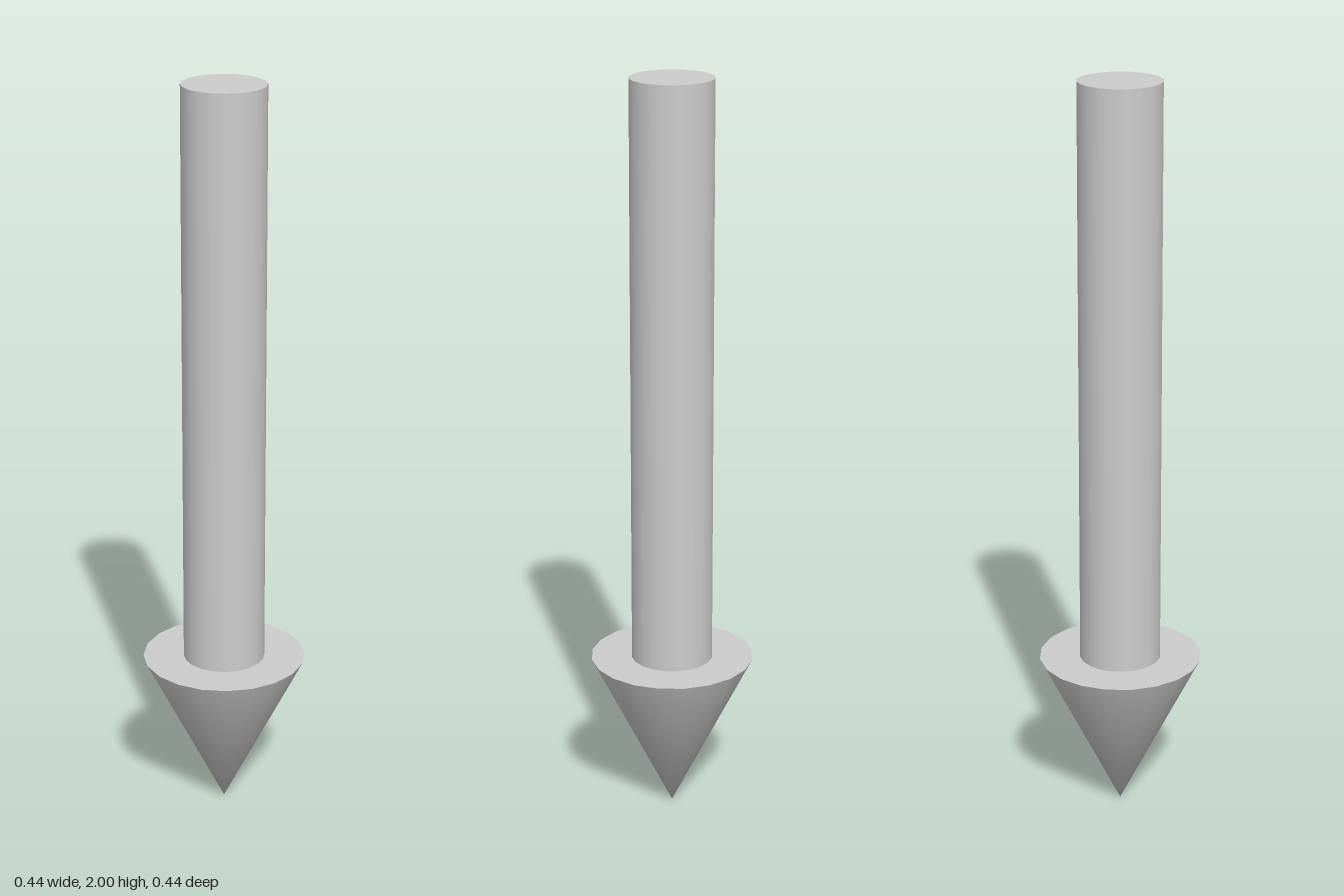
import * as THREE from 'three';

const SIDES = 20;
const HEIGHT = 2;
const HEAD_HEIGHT = 0.436;
const HEAD_RADIUS = 0.218;
const SHAFT_RADIUS = 0.109;

export function createModel() {
  const model = new THREE.Group();
  model.name = 'downArrow';
  const material = new THREE.MeshStandardMaterial({ color: 0xcccccc });

  const addPart = (name, geometry, y, parent = model) => {
    const mesh = new THREE.Mesh(geometry, material);
    mesh.name = name;
    mesh.position.y = y;
    parent.add(mesh);
    return mesh;
  };

  // Shaft: capped cylinder standing on the arrowhead
  const shaftLength = HEIGHT - HEAD_HEIGHT;
  addPart('shaft',
    new THREE.CylinderGeometry(SHAFT_RADIUS, SHAFT_RADIUS, shaftLength, SIDES),
    HEAD_HEIGHT + shaftLength / 2);

  // Arrowhead: downward cone whose normals all meet straight down at the tip
  const head = new THREE.Group();
  head.name = 'arrowhead';
  model.add(head);
  const cone = new THREE.CylinderGeometry(HEAD_RADIUS, 0, HEAD_HEIGHT, SIDES, 1, true);
  const { position, normal } = cone.attributes;
  for (let i = 0; i < position.count; i++) {
    if (position.getY(i) < 0) normal.setXYZ(i, 0, -1, 0);
  }
  addPart('headCone', cone, HEAD_HEIGHT / 2, head);

  // Flat top of the arrowhead
  const disc = new THREE.CircleGeometry(HEAD_RADIUS, SIDES).rotateX(-Math.PI / 2);
  addPart('headTop', disc, HEAD_HEIGHT, head);

  return model;
}
